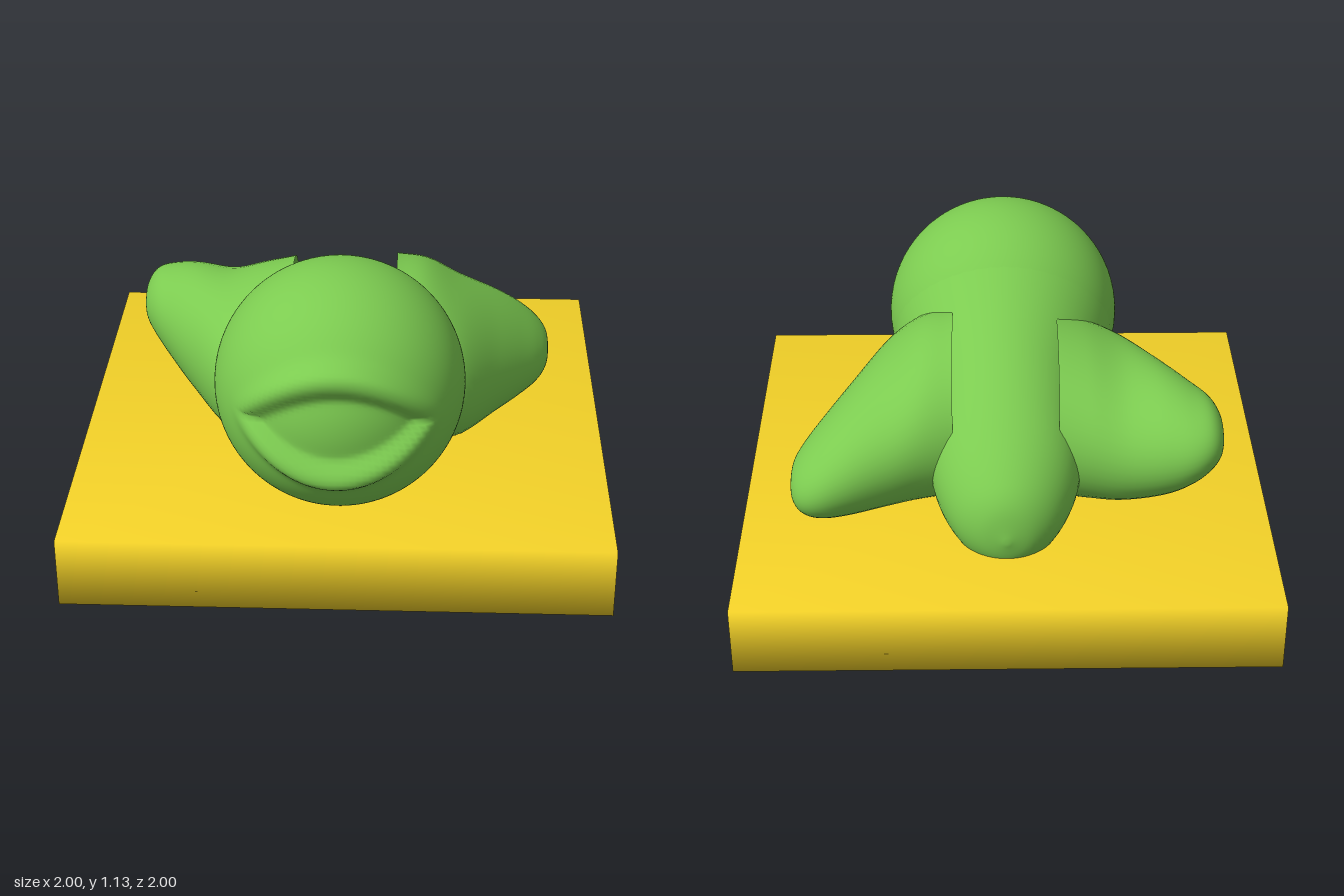
import * as THREE from 'three';
import { mergeVertices } from 'three/addons/utils/BufferGeometryUtils.js';

const green = new THREE.MeshStandardMaterial({ color: 0x7ccb50, side: THREE.DoubleSide });
const yellow = new THREE.MeshStandardMaterial({ color: 0xf5d328 });

// Share all coincident vertices and give them soft, averaged normals.
function soften(geometry) {
  geometry.deleteAttribute('uv');
  geometry.deleteAttribute('normal');
  const merged = mergeVertices(geometry, 1e-4);
  merged.computeVertexNormals();
  return merged;
}

function addMesh(group, name, geometry, material) {
  const mesh = new THREE.Mesh(geometry, material);
  mesh.name = name;
  group.add(mesh);
  return mesh;
}

// Skin through elliptical sections; each row is [t, uMin, uMax, vMin, vMax].
function loft(rows, place, turn = 1) {
  const curve = (a, b) => new THREE.CatmullRomCurve3(
    rows.map((r) => new THREE.Vector3(r[0], r[a], r[b])), false, 'catmullrom', 0.5);
  const uCurve = curve(1, 2);
  const vCurve = curve(3, 4);
  const geometry = new THREE.PlaneGeometry(1, 1, 48, 48);
  const { position, uv } = geometry.attributes;
  for (let i = 0; i < position.count; i++) {
    const angle = turn * uv.getX(i) * Math.PI * 2;
    const a = uCurve.getPoint(uv.getY(i));
    const b = vCurve.getPoint(uv.getY(i));
    const u = (a.y + a.z) / 2 + Math.cos(angle) * (a.z - a.y) / 2;
    const v = (b.y + b.z) / 2 + Math.sin(angle) * (b.z - b.y) / 2;
    position.setXYZ(i, ...place(a.x, u, v));
  }
  return soften(geometry);
}

// Ball with a sunken almond opening framed by raised lids.
function headGeometry() {
  const radius = 0.46;
  const geometry = new THREE.SphereGeometry(radius, 128, 96);
  const position = geometry.attributes.position;
  const p = new THREE.Vector3();
  for (let i = 0; i < position.count; i++) {
    p.fromBufferAttribute(position, i);
    if (p.z <= 0) continue;
    const s = Math.abs(p.y - 0.03) - 0.13 * (1 - (p.x / 0.3) ** 2);
    const lid = Math.max(0, 1 - (p.x / 0.38) ** 2);
    const sunk = -0.03 * (1 - THREE.MathUtils.smoothstep(s, -0.01, 0.03));
    const raised = 0.042 * lid * Math.exp(-(((s - 0.06) / 0.045) ** 2));
    p.setLength(radius + sunk + raised);
    position.setXYZ(i, p.x, p.y, p.z);
  }
  return soften(geometry);
}

export function createModel() {
  const group = new THREE.Group();

  // Square slab
  const slab = addMesh(group, 'base', soften(new THREE.BoxGeometry(2, 0.27, 2)), yellow);
  slab.position.y = 0.135;

  // Body, from the tail forward into the head
  const body = [
    [-0.71, 0, 0, 0.35, 0.35],
    [-0.68, -0.11, 0.11, 0.25, 0.49],
    [-0.6, -0.2, 0.2, 0.19, 0.59],
    [-0.45, -0.27, 0.27, 0.17, 0.7],
    [-0.25, -0.3, 0.3, 0.17, 0.81],
    [-0.05, -0.33, 0.33, 0.18, 0.9],
    [0.15, -0.385, 0.385, 0.19, 0.995],
    [0.32, -0.43, 0.43, 0.2, 1.075],
    [0.42, -0.44, 0.44, 0.22, 1.09],
  ];
  addMesh(group, 'body', loft(body, (t, u, v) => [u, v, t]), green);

  // Side lobes, from inside the body outward; one droops and one is raised
  const span = [[0.2, 0.38, -0.42], [0.32, 0.38, -0.45], [0.45, 0.34, -0.48], [0.6, 0.12, -0.515],
    [0.7, -0.03, -0.52], [0.77, -0.14, -0.49], [0.81, -0.23, -0.43], [0.822, -0.34, -0.34]];
  const heights = {
    leftLobe: [[0.2, 0.9], [0.2, 0.87], [0.2, 0.78], [0.22, 0.665], [0.24, 0.58],
      [0.27, 0.51], [0.32, 0.45], [0.385, 0.385]],
    rightLobe: [[0.2, 0.88], [0.2, 0.84], [0.22, 0.79], [0.3, 0.765], [0.38, 0.735],
      [0.45, 0.705], [0.51, 0.65], [0.58, 0.58]],
  };
  for (const [name, side] of [['leftLobe', 1], ['rightLobe', -1]]) {
    const rows = span.map(([x, zFront, zBack], i) => [x, ...heights[name][i], zBack, zFront]);
    addMesh(group, name, loft(rows, (t, u, v) => [side * t, u, v], side), green);
  }

  // Head
  addMesh(group, 'head', headGeometry(), green).position.set(0, 0.67, 0.5);

  return group;
}
